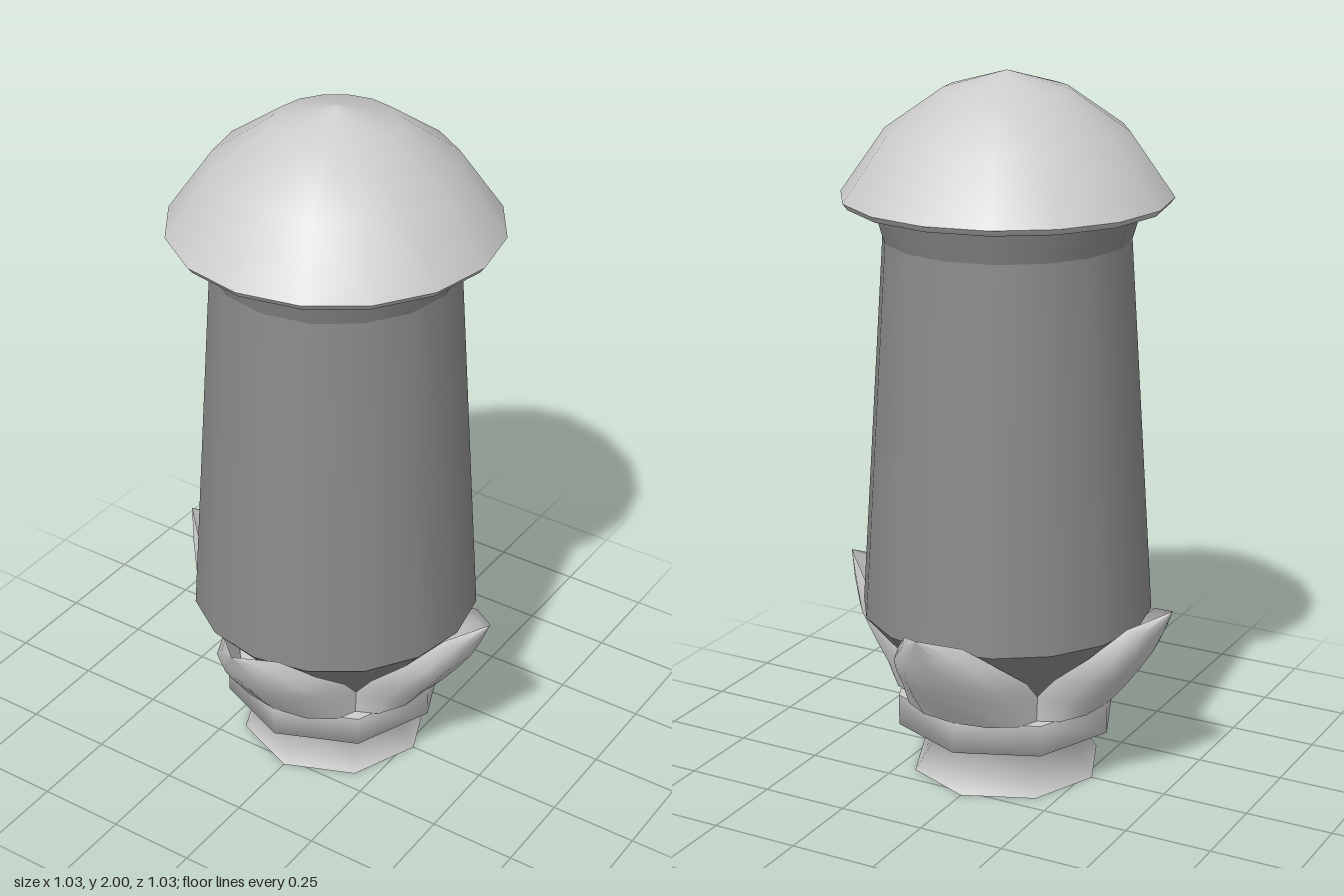
import * as THREE from 'three';

const light = new THREE.MeshStandardMaterial({ color: 0xcccccc, side: THREE.DoubleSide });
const dark = new THREE.MeshStandardMaterial({ color: 0x8a8a8a, side: THREE.DoubleSide });

// Turned part; each profile is smooth, creases fall between profiles
function turned(name, sides, material, ...profiles) {
  const group = new THREE.Group();
  group.name = name;
  for (const profile of profiles) {
    const points = profile.map(([r, y]) => new THREE.Vector2(r, y));
    const mesh = new THREE.Mesh(new THREE.LatheGeometry(points, sides), material);
    mesh.name = name + 'Surface';
    group.add(mesh);
  }
  return group;
}

// Cupped leaf built from rows running from the base to the tip
function petalGeometry() {
  // half width, edge height, edge depth, centre height, centre depth
  const rows = [
    [0.2, 0.24, 0.2, 0.24, 0.32],
    [0.205, 0.31, 0.2, 0.3, 0.37],
    [0.195, 0.37, 0.25, 0.36, 0.415],
    [0.16, 0.44, 0.34, 0.42, 0.455],
    [0.09, 0.515, 0.42, 0.485, 0.487],
    [0, 0.555, 0.515, 0.555, 0.515],
  ];
  const columns = 6;
  const positions = [];
  const index = [];
  rows.forEach(([w, ye, ze, yc, zc], r) => {
    for (let c = 0; c <= columns; c++) {
      const a = (c / columns - 0.5) * Math.PI;
      const k = Math.cos(a);
      positions.push(w * Math.sin(a), ye + (yc - ye) * k, ze + (zc - ze) * k);
      if (r < rows.length - 1 && c < columns) {
        const i = r * (columns + 1) + c;
        const j = i + columns + 1;
        index.push(i, i + 1, j);
        if (r < rows.length - 2) index.push(i + 1, j + 1, j);
      }
    }
  });
  const geometry = new THREE.BufferGeometry();
  geometry.setAttribute('position', new THREE.Float32BufferAttribute(positions, 3));
  geometry.setIndex(index);
  geometry.computeVertexNormals();
  return geometry;
}

export function createModel() {
  const model = new THREE.Group();
  model.name = 'lantern';

  // Eight-sided flared foot, open below, with a collar
  model.add(turned('foot', 8, light,
    [[0.275, 0], [0.21, 0.1], [0.32, 0.15], [0.32, 0.24]],
    [[0.32, 0.24], [0, 0.24]]));

  // Tapered body with a rounded-in underside and a flared neck
  model.add(turned('body', 16, dark,
    [[0.2, 0.24], [0.29, 0.345], [0.41, 0.485]],
    [[0.41, 0.485], [0.34, 1.55]],
    [[0.34, 1.55], [0.37, 1.65]]));

  // Domed cap with a thin rim
  model.add(turned('cap', 16, light,
    [[0.36, 1.648], [0.44, 1.648], [0.453, 1.665]],
    [[0.453, 1.665], [0.33, 1.84], [0.17, 1.952], [0, 2]]));

  // Four petals around the bottom of the body
  const petal = petalGeometry();
  for (let i = 0; i < 4; i++) {
    const mesh = new THREE.Mesh(petal, light);
    mesh.name = 'petal';
    mesh.rotation.y = i * Math.PI / 2;
    model.add(mesh);
  }
  return model;
}
